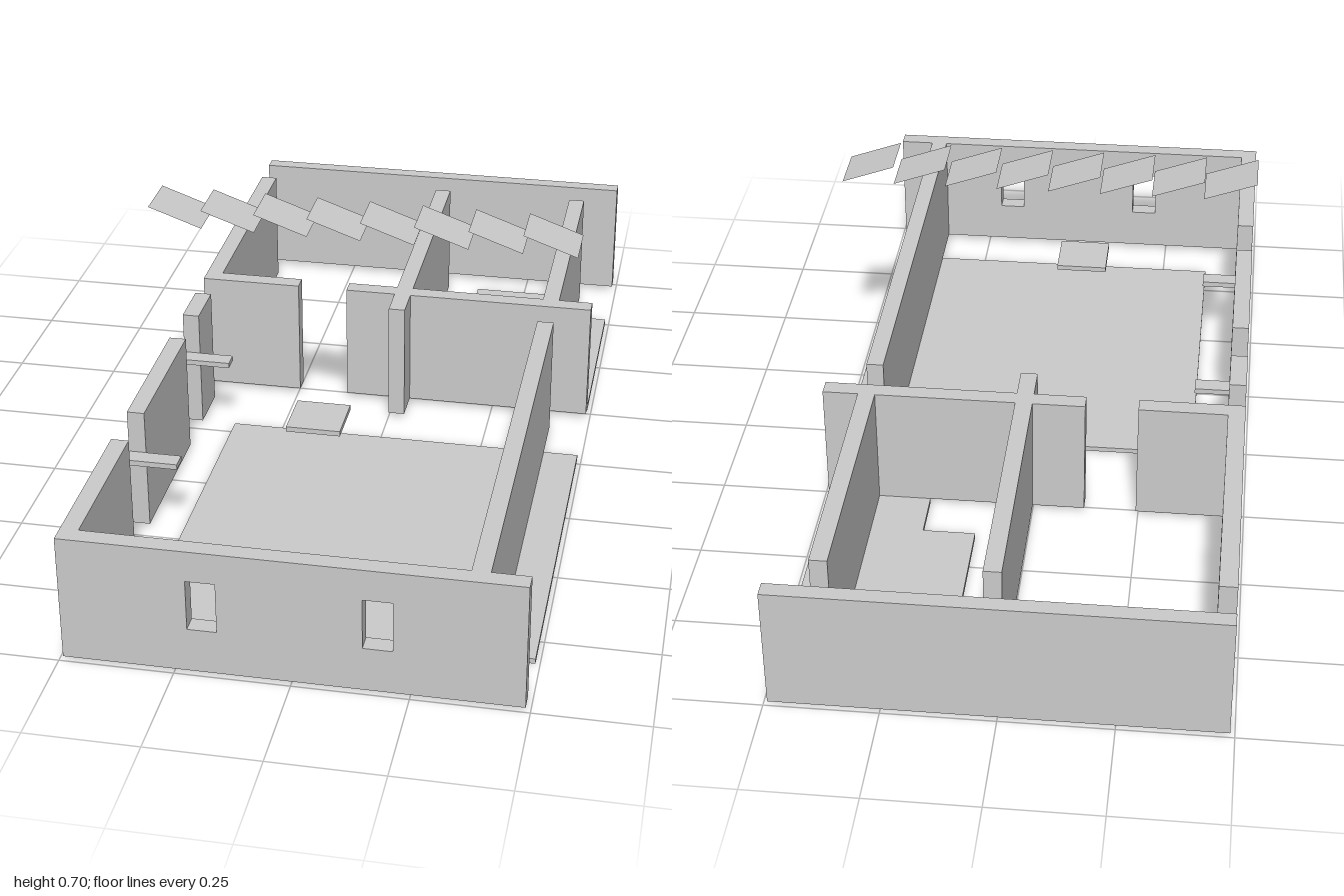
import * as THREE from 'three';

const BASE = 0.012, TOP = 0.305, T = 0.04, M = 0.1225; // wall bottom, wall top, wall thickness, plan module

export function createModel() {
  const root = new THREE.Group();
  root.name = 'house';
  const grey = new THREE.MeshStandardMaterial({ color: 0xcccccc, flatShading: true });
  const thin = new THREE.MeshStandardMaterial({ color: 0xcccccc, flatShading: true, side: THREE.DoubleSide });

  const add = (name, geometry, material = grey) => {
    const mesh = new THREE.Mesh(geometry, material);
    mesh.name = name;
    root.add(mesh);
    return mesh;
  };
  const block = (name, x0, x1, z0, z1, y0 = BASE, y1 = TOP) =>
    add(name, new THREE.BoxGeometry(x1 - x0, y1 - y0, z1 - z0))
      .position.set((x0 + x1) / 2, (y0 + y1) / 2, (z0 + z1) / 2);
  // plan outline given as [x, z] corners, raised from y0 to y1
  const slab = (name, corners, y0, y1) => {
    const shape = new THREE.Shape(corners.map(([x, z]) => new THREE.Vector2(x, -z)));
    const geometry = new THREE.ExtrudeGeometry(shape, { depth: y1 - y0, bevelEnabled: false });
    add(name, geometry.rotateX(-Math.PI / 2)).position.y = y0;
  };
  const rect = (path, x0, x1, y0, y1) =>
    path.moveTo(x0, y0).lineTo(x1, y0).lineTo(x1, y1).lineTo(x0, y1).closePath();

  const W = 4 * M; // half width of the house

  // Front wall with two narrow windows
  const front = rect(new THREE.Shape(), -W, W, BASE, TOP);
  for (const x of [-0.217, 0.152]) front.holes.push(rect(new THREE.Path(), x, x + 0.063, 0.115, 0.233));
  add('frontWall', new THREE.ExtrudeGeometry(front, { depth: T, bevelEnabled: false })).position.z = 1 - T;

  // Back wall, standing free
  block('backWall', -W, W, -1, -1 + T * 0.92);

  // Right outer wall, broken by openings
  for (const [z0, z1] of [[0.59, 1 - T], [0.1, 0.467], [-0.145, -0.022]])
    block('rightWall', -W, -W + T, z0, z1);
  slab('rightBackWall', [
    [-W, -0.88], [-W + T, -0.88], [-W + T, -0.268], [-2 * M, -0.268], [-2 * M, -0.228], [-W, -0.228],
  ], BASE, TOP);

  // Left living room wall
  block('leftWall', 3 * M, 3 * M + T, -0.145, 1 - T);

  // Room dividers around the back rooms
  const a = -0.268, b = -0.228, c = 3 * M;
  slab('roomDividers', [
    [0, -0.88], [T, -0.88], [T, a], [c, a], [c, -0.88], [c + T, -0.88], [c + T, a], [W, a],
    [W, b], [T, b], [T, -0.145], [0, -0.145], [0, b], [-M, b], [-M, a], [0, a],
  ], BASE, TOP);

  // Floors
  block('livingFloor', -3 * M, W, -0.022, 0.83, 0, BASE);
  slab('backFloor', [
    [M, -0.88], [c, -0.88], [c, -0.757], [W, -0.757], [W, a], [2 * M, a], [2 * M, -0.39], [M, -0.39],
  ], 0, BASE);

  // Shelves beside the right openings
  for (const z of [-0.022, 0.467]) block('shelf', -W, -3 * M, z, z + T, 0.19, 0.203);

  // Small raised panel over the living room
  block('raisedPanel', -M, 0, 0.345, 0.467, TOP - 0.012, TOP);

  // Row of tilted roof louvres
  const drop = 0.044;
  for (let i = 0; i < 8; i++) {
    const louvre = add('louvre', new THREE.PlaneGeometry(Math.hypot(M, drop), M).rotateX(-Math.PI / 2), thin);
    louvre.rotation.z = -Math.atan2(drop, M);
    louvre.position.set(-W + (i + 0.5) * M, 0.681, 0.161);
  }
  return root;
}
